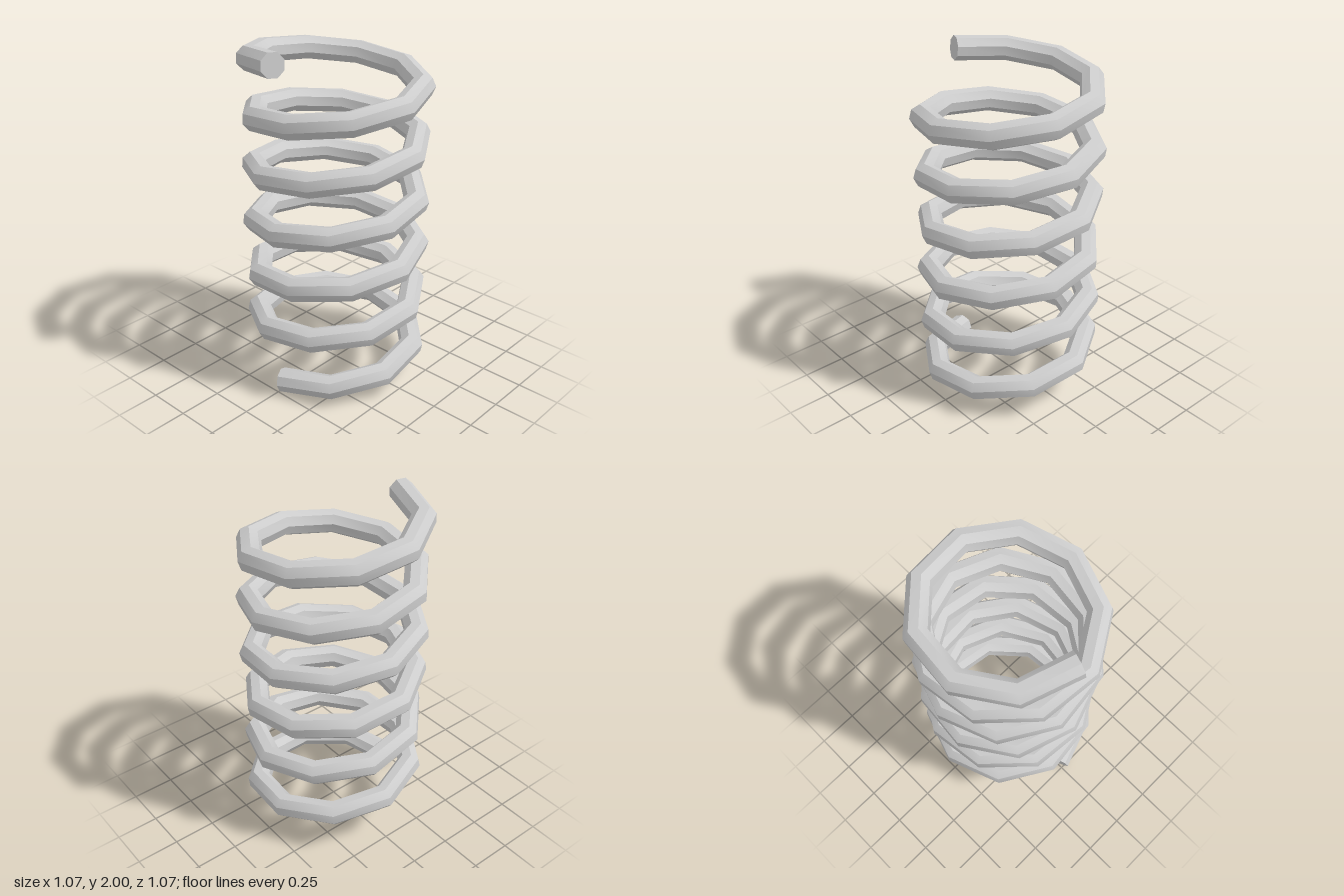
import * as THREE from 'three';
import { toCreasedNormals } from 'three/addons/utils/BufferGeometryUtils.js';

const TURNS = 6, SEGMENTS = 56, SIDES = 8;
const COIL_RADIUS = 0.465, WIRE_RADIUS = 0.07;
const Y_START = 0.07, Y_END = 1.934;

// Point number i on the helix, starting at -x and rising through +z
function helixPoint(i) {
  const t = i / SEGMENTS, a = t * TURNS * Math.PI * 2;
  return new THREE.Vector3(
    -COIL_RADIUS * Math.cos(a),
    Y_START + (Y_END - Y_START) * t,
    COIL_RADIUS * Math.sin(a)
  );
}

// Helix made of straight runs, so the wire bends only at the segment joints
class FacetedHelix extends THREE.Curve {
  getPoint(t, target = new THREE.Vector3()) {
    const s = t * SEGMENTS;
    const i = Math.min(Math.floor(s), SEGMENTS - 1);
    return target.copy(helixPoint(i)).lerp(helixPoint(i + 1), s - i);
  }
  getUtoTmapping(u) {
    return u;
  }
}

// Flat octagon closing one end ring of the wire
function capGeometry(tube, ring, flip) {
  const pos = tube.attributes.position;
  const points = [], index = [];
  for (let j = 0; j < SIDES; j++) {
    points.push(new THREE.Vector3().fromBufferAttribute(pos, ring * (SIDES + 1) + j));
  }
  for (let j = 1; j < SIDES - 1; j++) {
    index.push(0, flip ? j + 1 : j, flip ? j : j + 1);
  }
  const geo = new THREE.BufferGeometry().setFromPoints(points);
  geo.setIndex(index);
  geo.computeVertexNormals();
  return geo;
}

export function createModel() {
  const steel = new THREE.MeshStandardMaterial({ color: 0xcccccc });
  steel.name = 'light steel grey';

  const group = new THREE.Group();
  group.name = 'coilSpring';
  const add = (name, geometry) => {
    const mesh = new THREE.Mesh(geometry, steel);
    mesh.name = name;
    group.add(mesh);
  };

  // Wire: crisp lengthwise edges, soft bends between segments
  const tube = new THREE.TubeGeometry(new FacetedHelix(), SEGMENTS, WIRE_RADIUS, SIDES, false);
  add('coil', toCreasedNormals(tube, 0.69));

  // Ends
  add('bottomEnd', capGeometry(tube, 0, false));
  add('topEnd', capGeometry(tube, SEGMENTS, true));
  return group;
}
